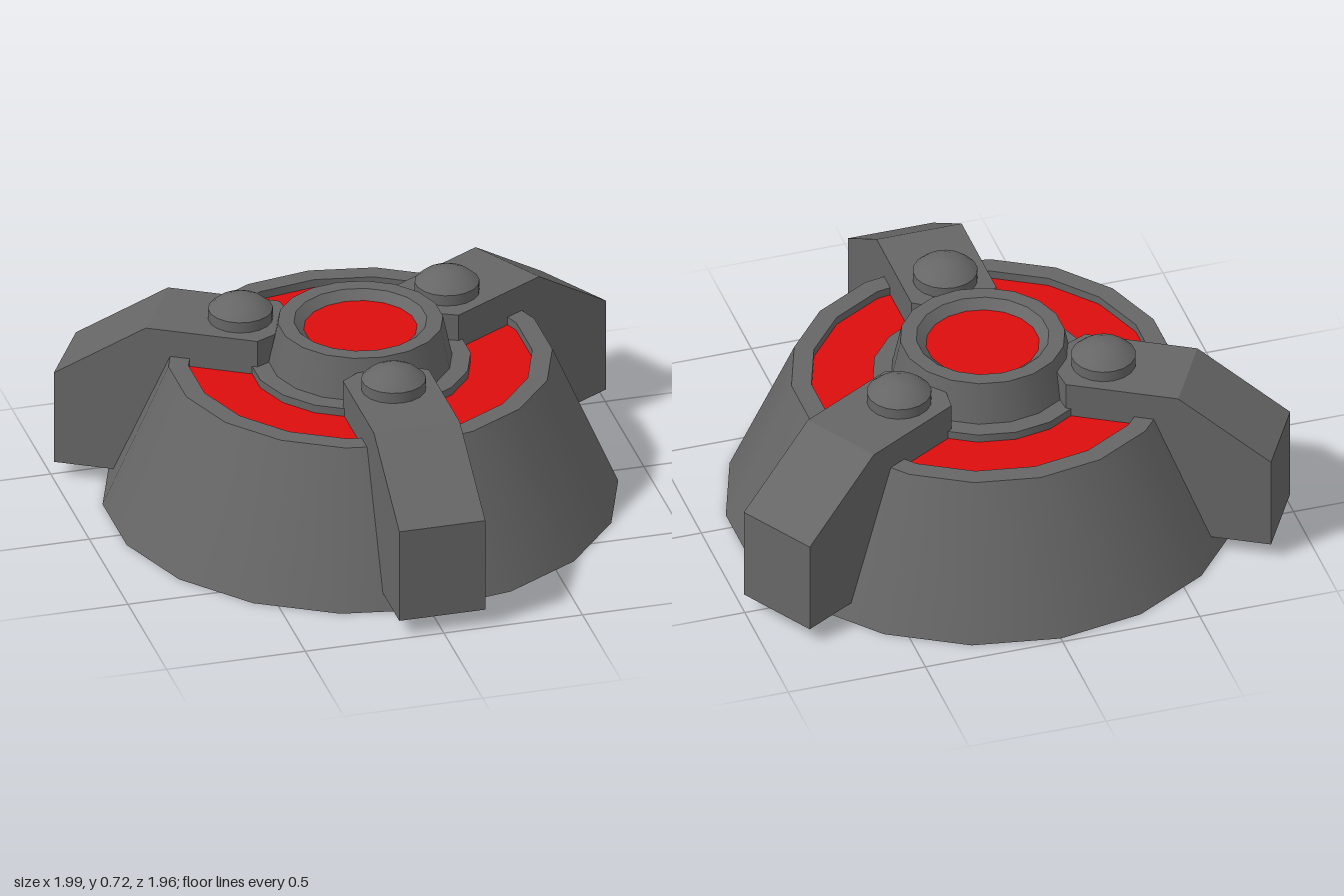
import * as THREE from 'three';

const SIDES = 18;
const grey = new THREE.MeshStandardMaterial({ color: 0x666666, side: THREE.DoubleSide });
const red = new THREE.MeshStandardMaterial({ color: 0xdd0d0d, side: THREE.DoubleSide });

// Turned part: every profile segment is its own band, so edges between bands stay sharp
function turned(name, profile, material = grey, sides = SIDES) {
  const part = new THREE.Group();
  part.name = name;
  for (let i = 0; i < profile.length - 1; i++) {
    const pts = [profile[i], profile[i + 1]].map(([r, y]) => new THREE.Vector2(r, y));
    const band = new THREE.Mesh(new THREE.LatheGeometry(pts, sides), material);
    band.name = name + 'Band';
    part.add(band);
  }
  return part;
}

// Arm: a box reshaped by sections along its length [distance, half width, top]
function armGeometry() {
  const sections = [[0.285, 0.09, 0.63], [0.33, 0.155, 0.63], [0.73, 0.155, 0.63], [1.06, 0.155, 0.41]];
  const box = new THREE.BoxGeometry(1, 1, 1, 1, 1, sections.length - 1);
  const pos = box.attributes.position;
  for (let i = 0; i < pos.count; i++) {
    const [dist, half, top] = sections[Math.round((pos.getZ(i) + 0.5) * (sections.length - 1))];
    pos.setXYZ(i, Math.sign(pos.getX(i)) * half, pos.getY(i) > 0 ? top : 0.06, dist);
  }
  const geo = box.toNonIndexed();
  geo.computeVertexNormals();
  return geo;
}

export function createModel() {
  const model = new THREE.Group();
  model.name = 'domedBase';
  const body = new THREE.Group();
  body.name = 'body';
  body.position.z = -0.08;
  model.add(body);

  // Open conical shell with a flat rim and a shallow recess
  body.add(turned('shell', [[0.9, 0], [0.67, 0.53], [0.6, 0.53], [0.6, 0.5]]));
  body.add(turned('redRing', [[0.6, 0.5], [0.385, 0.5]], red));

  // Stepped central collar with a tapered bore
  body.add(turned('collar', [
    [0.385, 0.5], [0.385, 0.53], [0.32, 0.53], [0.288, 0.68], [0.232, 0.68], [0.198, 0.65],
  ]));
  body.add(turned('redDisc', [[0.198, 0.65], [0, 0.65]], red));

  // Three arms, each carrying a domed stud
  const armGeo = armGeometry();
  for (let i = 0; i < 3; i++) {
    const unit = new THREE.Group();
    unit.name = 'armUnit';
    unit.rotation.y = (i * Math.PI * 2) / 3;
    const arm = new THREE.Mesh(armGeo, grey);
    arm.name = 'arm';
    unit.add(arm);

    const stud = turned('stud', [[0.113, 0.62], [0.113, 0.67]]);
    stud.position.z = 0.43;
    const capProfile = [[0.113, 0.67], [0.085, 0.695], [0.045, 0.715], [0, 0.72]]
      .map(([r, y]) => new THREE.Vector2(r, y));
    const cap = new THREE.Mesh(new THREE.LatheGeometry(capProfile, SIDES), grey);
    cap.name = 'studCap';
    stud.add(cap);
    unit.add(stud);
    body.add(unit);
  }
  return model;
}
